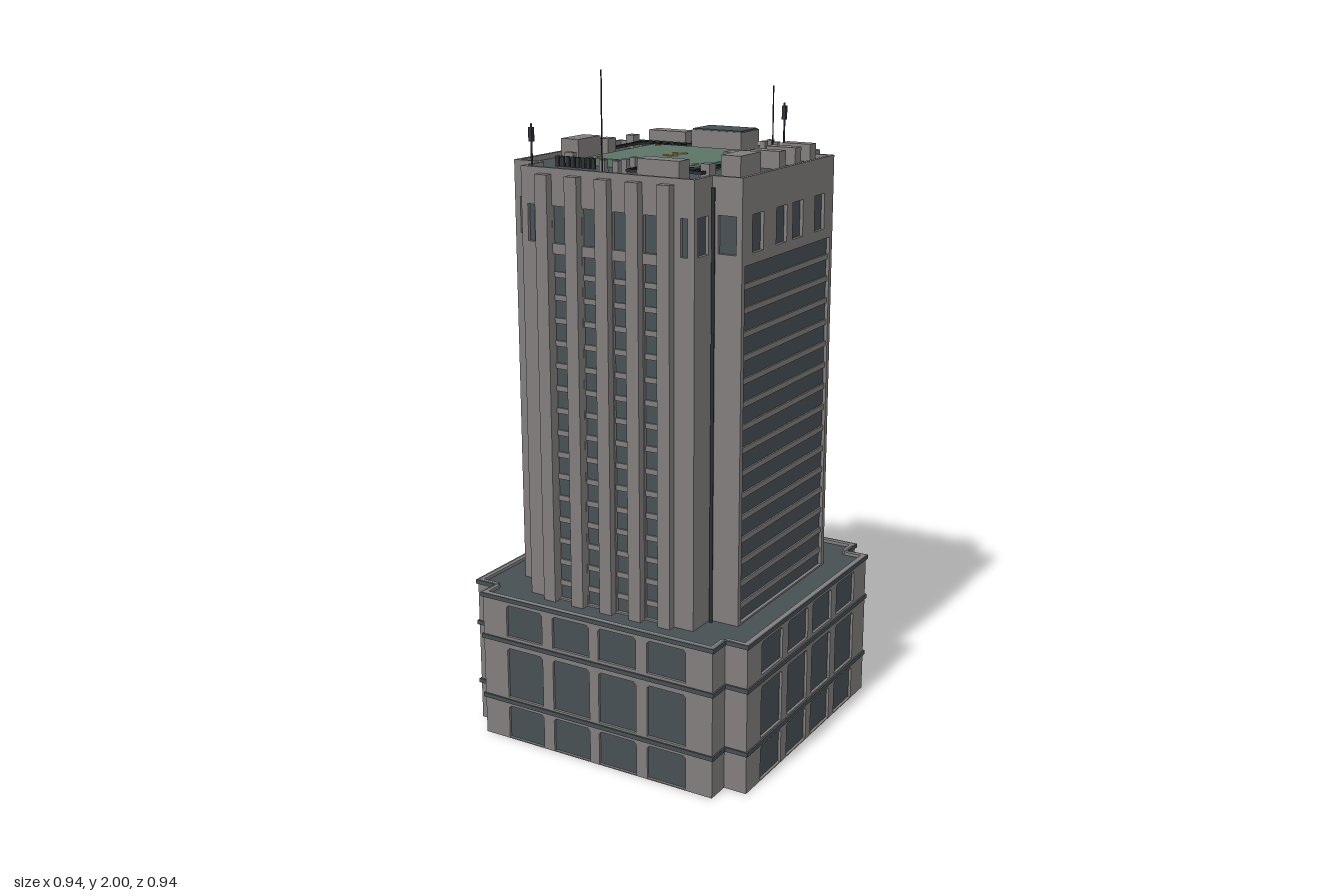
import * as THREE from 'three';

const mat = (name, color) => {
  const m = new THREE.MeshStandardMaterial({ color });
  m.name = name;
  return m;
};

export function createModel() {
  const stone = mat('stone', 0x827d7d);
  const slate = mat('slate glass and roofing', 0x465054);
  const pane = mat('podium glass', 0x465054);
  pane.side = THREE.DoubleSide;
  const black = mat('black metal', 0x2b2f31);
  const green = mat('pad green', 0x5b7568);
  const orange = mat('pad orange', 0xd08a3c);

  const model = new THREE.Group();
  model.name = 'tower';
  const group = (name, parent = model) => {
    const g = new THREE.Group();
    g.name = name;
    parent.add(g);
    return g;
  };
  const add = (name, geo, material, parent) => {
    const m = new THREE.Mesh(geo, material);
    m.name = name;
    parent.add(m);
    return m;
  };
  // Box given by its limits on each axis
  const box = (name, x0, x1, y0, y1, z0, z1, material, parent) => {
    const m = add(name, new THREE.BoxGeometry(x1 - x0, y1 - y0, z1 - z0), material, parent);
    m.position.set((x0 + x1) / 2, (y0 + y1) / 2, (z0 + z1) / 2);
    return m;
  };
  const pole = (name, x, z, y0, y1, r, material, parent) => {
    const m = add(name, new THREE.CylinderGeometry(r, r, y1 - y0, 8), material, parent);
    m.position.set(x, (y0 + y1) / 2, z);
  };

  // Cross-shaped plan: arms reach ax and az, notches start at cx and cz
  const crossPoints = (ax, az, cx, cz) => [
    [ax, -cz], [ax, cz], [cx, cz], [cx, az], [-cx, az], [-cx, cz],
    [-ax, cz], [-ax, -cz], [-cx, -cz], [-cx, -az], [cx, -az], [cx, -cz],
  ].map(([x, y]) => new THREE.Vector2(x, y));
  const cross = (name, outer, inner, y0, y1, material, parent) => {
    const shape = new THREE.Shape(crossPoints(...outer));
    if (inner) shape.holes.push(new THREE.Path(crossPoints(...inner).reverse()));
    const geo = new THREE.ExtrudeGeometry(shape, { depth: y1 - y0, bevelEnabled: false });
    geo.rotateX(-Math.PI / 2).translate(0, y0, 0);
    return add(name, geo, material, parent);
  };
  const inset = ([ax, az, cx, cz], d) => [ax - d, az - d, cx - d, cz - d];

  // Wall panel facing +z with window openings [x0, x1, y0, y1], cut top corners
  const panel = (name, w, y0, y1, holes, depth, cut, parent) => {
    const s = new THREE.Shape();
    s.moveTo(-w / 2, y0).lineTo(w / 2, y0).lineTo(w / 2, y1).lineTo(-w / 2, y1).closePath();
    for (const [a, b, c, d] of holes) {
      const p = new THREE.Path();
      p.moveTo(a, c).lineTo(a, d - cut).lineTo(a + cut, d).lineTo(b - cut, d).lineTo(b, d - cut).lineTo(b, c).closePath();
      s.holes.push(p);
    }
    const geo = new THREE.ExtrudeGeometry(s, { depth, bevelEnabled: false });
    return add(name, geo.translate(0, 0, -depth), stone, parent);
  };

  // ---- Podium: hollow walls with three rows of windows ----
  const podium = group('podium');
  const P = [0.466, 0.466, 0.395, 0.395];
  const rows = [[0.003, 0.108], [0.137, 0.297], [0.335, 0.435]];
  const bays = [-0.245, -0.08, 0.08, 0.245];
  for (let k = 0; k < 4; k++) {
    const side = group('podiumSide', podium);
    side.rotation.y = k * Math.PI / 2;
    const holes = [];
    for (const [y0, y1] of rows) for (const x of bays) holes.push([x - 0.064, x + 0.064, y0, y1]);
    panel('podiumWall', 0.79, 0, 0.46, holes, 0.014, 0.008, side).position.z = 0.466;
    for (const [a, b, c, d] of holes) {
      const glass = add('podiumWindow', new THREE.PlaneGeometry(b - a, d - c), pane, side);
      glass.position.set((a + b) / 2, (c + d) / 2, 0.458);
    }
    for (const s of [-1, 1])
      panel('podiumCorner', 0.071, 0, 0.46, [], 0.012, 0, side).position.set(s * 0.4305, 0, 0.395);
  }
  cross('podiumRoof', inset(P, 0.008), null, 0.44, 0.45, slate, podium);
  for (const y of [0.118, 0.313, 0.447])
    cross('podiumBand', inset(P, -0.005), inset(P, 0.004), y, y + 0.013, slate, podium);

  // ---- Shaft: dark core wrapped in stone panels ----
  const shaft = group('shaft');
  const T = [0.372, 0.375, 0.28, 0.28];
  const ROOF = 1.715, TOP = 1.73;
  cross('glassCore', inset(T, 0.01), null, 0.45, ROOF, slate, shaft);
  const topWin = (x, w) => [x - w / 2, x + w / 2, 1.52, 1.625];
  const floors = 16, pitch = 0.0663;
  for (let k = 0; k < 4; k++) {
    const isFront = k % 2 === 0;
    const face = group(isFront ? 'finnedFace' : 'stripedFace', shaft);
    face.rotation.y = k * Math.PI / 2;
    const dist = isFront ? 0.375 : 0.372;
    const other = isFront ? 0.372 : 0.375;
    const columns = isFront ? [-0.149, -0.05, 0.05, 0.149] : [0];
    const half = isFront ? 0.028 : 0.263;
    const holes = columns.map((x) => [x - half, x + half, 0.455, 1.49]);
    if (isFront) {
      columns.forEach((x) => holes.push(topWin(x, 0.055)));
      [-0.248, 0.248].forEach((x) => holes.push(topWin(x, 0.022)));
    } else {
      [-0.19, -0.05, 0.05, 0.19].forEach((x) => holes.push(topWin(x, 0.064)));
    }
    panel('shaftWall', 0.56, 0.45, TOP, holes, 0.012, 0, face).position.z = dist;
    // Floor bands across the glass
    for (let i = 0; i < floors; i++) {
      const y = 0.503 + i * pitch - 0.008;
      if (y > 1.48) continue;
      for (const x of columns)
        box('floorBand', x - half, x + half, y, y + 0.016, dist - 0.012, dist - 0.005, stone, face);
    }
    // Vertical fins
    if (isFront)
      for (let i = -2; i <= 2; i++)
        box('fin', i * 0.0985 - 0.02, i * 0.0985 + 0.02, 0.45, 1.713, dist - 0.005, 0.4, stone, face);
    // Notched corners
    for (const s of [-1, 1]) {
      const c = (0.28 + other) / 2;
      panel('cornerWall', other - 0.28, 0.45, TOP, [topWin(0, 0.056)], 0.012, 0, face)
        .position.set(s * c, 0, 0.28);
    }
  }
  for (const x of [-0.29, 0.29]) for (const z of [-0.292, 0.292])
    pole('downpipe', x, z, 0.45, 1.7, 0.005, black, shaft);

  // ---- Landing pad ----
  const pad = group('landingPad');
  box('padDeck', -0.187, 0.187, ROOF, 1.738, -0.187, 0.187, green, pad);
  const mark = (x, z, w, d) =>
    box('padMark', x - w / 2, x + w / 2, 1.738, 1.74, z - d / 2, z + d / 2, orange, pad);
  for (const z of [-0.024, 0.031]) {
    mark(0, z, 0.046, 0.01);
    for (const s of [-1, 1]) {
      mark(0, z + s * 0.008, 0.034, 0.006);
      mark(s * 0.008, z + s * 0.013, 0.012, 0.004);
    }
  }
  for (const sx of [-1, 1]) for (const sz of [-1, 1])
    for (let i = 0; i < 3; i++) {
      mark(sx * (0.166 - i * 0.008), sz * 0.16, 0.004, 0.004);
      mark(sx * 0.16, sz * (0.166 - i * 0.008), 0.004, 0.004);
    }

  // ---- Rooftop plant ----
  const plant = group('roofPlant');
  const unit = (x0, x1, z0, z1, top, parent = plant) =>
    box('roofUnit', x0, x1, ROOF, top, z0, z1, stone, parent);
  unit(-0.305, -0.245, 0.022, 0.14, 1.78);
  unit(0.28, 0.34, 0.118, 0.234, 1.78);
  for (const z of [-0.228, -0.132, -0.035]) unit(0.235, 0.328, z - 0.019, z + 0.019, 1.765);
  unit(-0.252, -0.222, 0.184, 0.2, 1.75);
  for (const [x, z] of [[0.135, -0.33], [0.135, -0.288], [0.177, -0.288], [0.22, -0.288],
    [0, 0.227], [0, 0.27], [0, 0.315], [-0.043, 0.315]])
    unit(x - 0.009, x + 0.009, z - 0.009, z + 0.009, 1.755);
  box('stairHouse', -0.07, 0.1, ROOF, 1.785, -0.322, -0.21, stone, plant);
  box('stairHouseRoof', -0.067, 0.097, 1.785, 1.789, -0.319, -0.213, slate, plant);
  for (let i = 0; i < 8; i++)
    box('railPost', -0.252 + i * 0.0175, -0.24 + i * 0.0175, ROOF, 1.745, 0.24, 0.247, black, plant);

  // Two sets of units linked by pipe runs, the second turned half round
  const pipeRuns = [
    [[-0.13, -0.322], [-0.093, -0.322], [-0.093, -0.257], [-0.29, -0.257], [-0.29, -0.235]],
    [[-0.13, -0.308], [-0.108, -0.308], [-0.108, -0.268], [-0.295, -0.268], [-0.295, -0.235]],
    [[-0.27, -0.247], [-0.115, -0.247], [-0.115, -0.205]],
    [[-0.265, -0.236], [-0.138, -0.236], [-0.138, -0.205]],
    [[-0.21, -0.225], [-0.1, -0.225]],
    [[-0.245, -0.205], [-0.1, -0.205]],
    [[-0.272, -0.25], [-0.272, -0.06]],
    [[-0.262, -0.23], [-0.262, -0.06]],
  ];
  for (const turned of [false, true]) {
    const set = group('coolingSet', plant);
    if (turned) {
      set.rotation.y = Math.PI;
      set.position.x = -0.055;
    }
    unit(-0.26, -0.128, -0.328, -0.274, 1.768, set);
    unit(-0.309, -0.281, -0.25, -0.216, 1.755, set);
    unit(-0.284, -0.25, -0.068, -0.025, 1.765, set);
    for (const run of pipeRuns)
      for (let i = 1; i < run.length; i++) {
        const [a, b] = [run[i - 1], run[i]], r = 0.003;
        box('pipe', Math.min(a[0], b[0]) - r, Math.max(a[0], b[0]) + r, 1.728, 1.736,
          Math.min(a[1], b[1]) - r, Math.max(a[1], b[1]) + r, black, set);
      }
  }

  // ---- Antennas ----
  const masts = group('antennas');
  pole('tallMast', -0.025, 0.35, ROOF, 2.0, 0.002, black, masts);
  pole('mast', 0.19, -0.24, ROOF, 1.925, 0.002, black, masts);
  for (const [x, z, top] of [[-0.257, 0.353, 1.845], [0.19, -0.313, 1.87]]) {
    pole('shortMast', x, z, ROOF, top, 0.003, black, masts);
    box('aerialPanel', x - 0.006, x + 0.006, top - 0.05, top - 0.01, z - 0.006, z + 0.006, black, masts);
  }
  return model;
}
